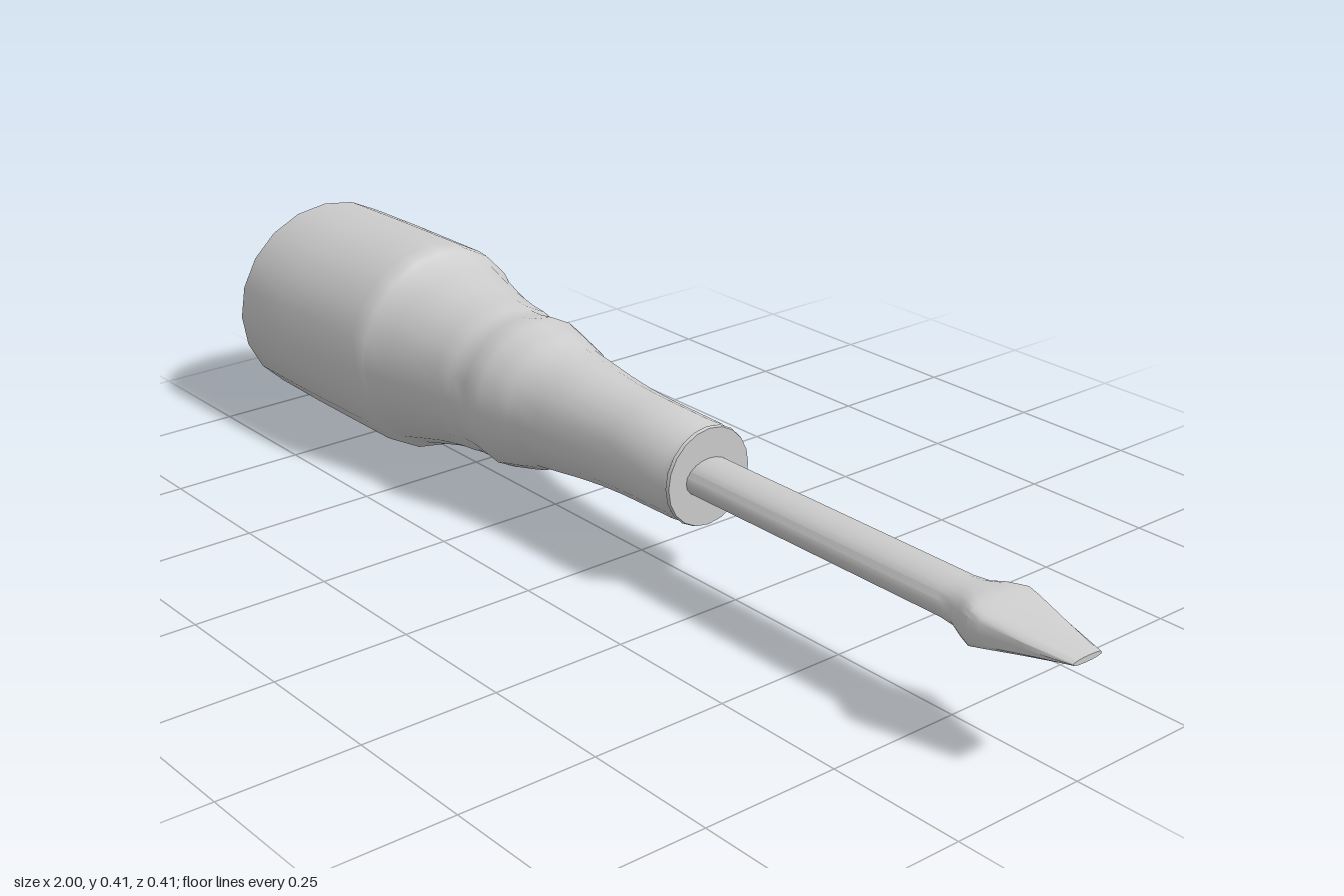
import * as THREE from 'three';
import { toCreasedNormals } from 'three/addons/utils/BufferGeometryUtils.js';

const SIDES = 20;

// Skin cross-sections [x, half height, half depth, squareness] along the x axis.
// Squareness 1 is an ellipse; smaller values approach a rectangle.
function loft(sections, crease) {
  const pos = [], index = [];
  const bend = (v, p) => Math.sign(v) * Math.pow(Math.abs(v), p);
  for (const [x, ry, rz, p = 1] of sections) {
    for (let j = 0; j < SIDES; j++) {
      const a = (j / SIDES) * Math.PI * 2;
      pos.push(x, ry * bend(Math.cos(a), p), rz * bend(Math.sin(a), p));
    }
  }
  for (let i = 0; i < sections.length - 1; i++) {
    for (let j = 0; j < SIDES; j++) {
      const k = (j + 1) % SIDES;
      const a = i * SIDES + j, b = i * SIDES + k;
      const c = b + SIDES, d = a + SIDES;
      index.push(a, b, c, a, c, d);
    }
  }
  // End caps
  const last = sections.length - 1;
  const start = pos.length / 3;
  pos.push(sections[0][0], 0, 0, sections[last][0], 0, 0);
  for (let j = 0; j < SIDES; j++) {
    const k = (j + 1) % SIDES;
    index.push(start, k, j, start + 1, last * SIDES + j, last * SIDES + k);
  }
  const geo = new THREE.BufferGeometry();
  geo.setAttribute('position', new THREE.Float32BufferAttribute(pos, 3));
  geo.setIndex(index);
  return toCreasedNormals(geo, crease);
}

export function createModel() {
  const group = new THREE.Group();
  group.name = 'screwdriver';
  const material = new THREE.MeshStandardMaterial({ color: 0xcccccc });

  const add = (name, sections, crease) => {
    const mesh = new THREE.Mesh(loft(sections, crease), material);
    mesh.name = name;
    mesh.position.y = 0.204;
    group.add(mesh);
  };

  // Wide grip, slightly oval, ending in a rounded shoulder
  const grip = [
    [-1, 0.194, 0.206], [-0.85, 0.198, 0.204], [-0.7, 0.201, 0.198],
    [-0.63, 0.203, 0.194], [-0.605, 0.2, 0.191], [-0.595, 0.193, 0.187],
  ];
  // Round neck with a raised band and a small end collar
  const neck = [
    [-0.585, 0.183], [-0.54, 0.171], [-0.48, 0.156], [-0.42, 0.146], [-0.385, 0.143],
    [-0.375, 0.139], [-0.34, 0.139], [-0.31, 0.143], [-0.295, 0.139], [-0.26, 0.131],
    [-0.23, 0.123], [-0.215, 0.116], [-0.16, 0.109], [-0.1, 0.101], [-0.04, 0.095],
    [0.02, 0.092], [0.15, 0.09], [0.158, 0.086], [0.168, 0.086], [0.172, 0.09], [0.178, 0.088],
  ].map(([x, r]) => [x, r, r]);
  add('handle', [...grip, ...neck], 0.7);

  // Oval shaft flaring into a flat, tapered blade
  add('shaftAndBlade', [
    [0.17, 0.034, 0.05], [0.75, 0.034, 0.05], [0.78, 0.035, 0.052, 0.9],
    [0.805, 0.038, 0.061, 0.65], [0.83, 0.036, 0.07, 0.45], [0.85, 0.031, 0.068, 0.45],
    [0.92, 0.019, 0.051, 0.6], [1, 0.005, 0.031, 0.9],
  ], 0.6);

  return group;
}
